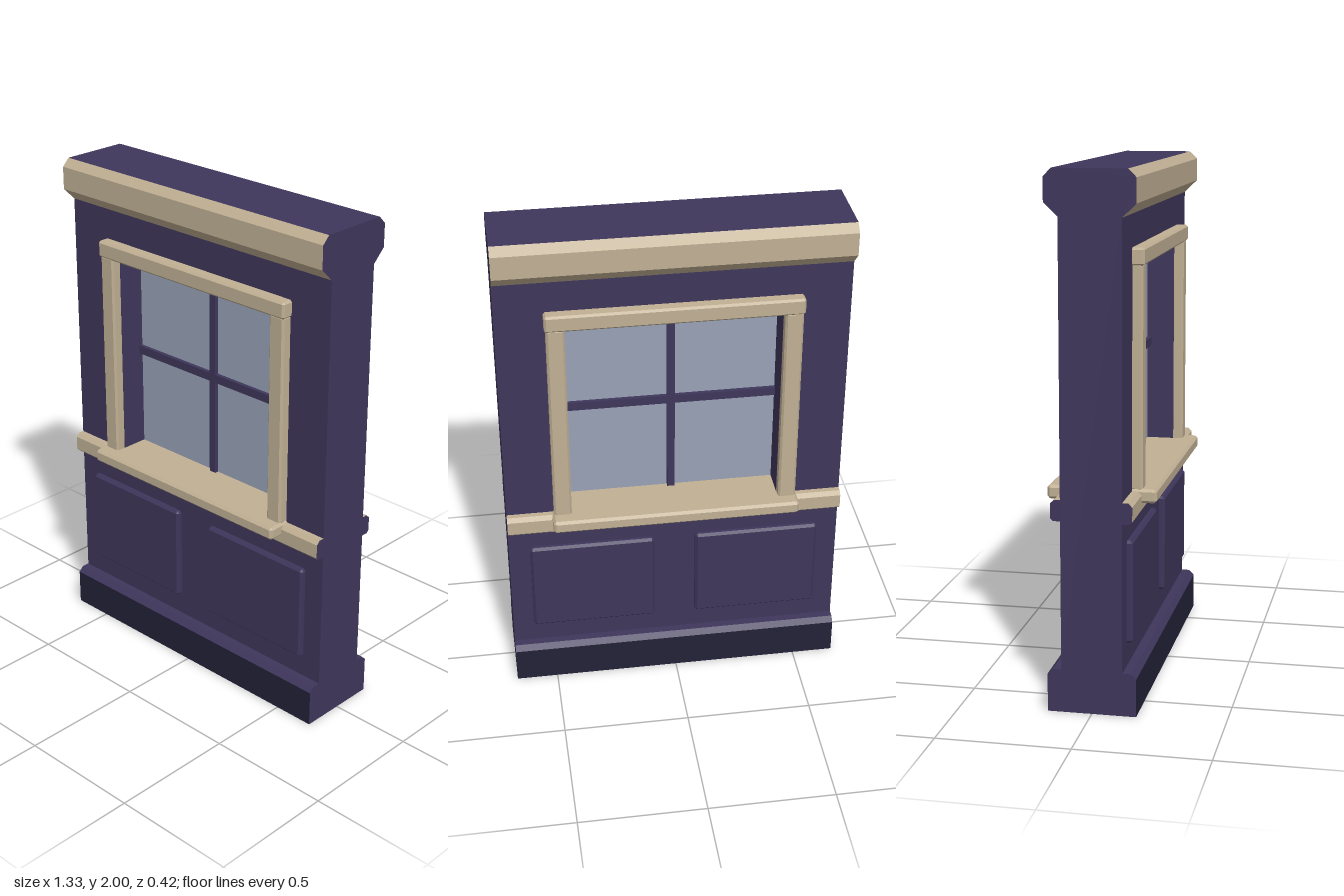
import * as THREE from 'three';
import { ConvexGeometry } from 'three/addons/geometries/ConvexGeometry.js';

const WIDTH = 1.333, HALF_DEPTH = 0.115;

function material(name, color) {
  const m = new THREE.MeshStandardMaterial({ color });
  m.name = name;
  return m;
}

// Box with every edge cut at 45 degrees, given by its two opposite corners
function chamferBox([x0, y0, z0], [x1, y1, z1], c) {
  const h = [(x1 - x0) / 2, (y1 - y0) / 2, (z1 - z0) / 2];
  const points = [];
  for (const sx of [-1, 1]) for (const sy of [-1, 1]) for (const sz of [-1, 1]) {
    for (let axis = 0; axis < 3; axis++) {
      const p = h.map((v, i) => (i === axis ? v : v - c));
      points.push(new THREE.Vector3(p[0] * sx, p[1] * sy, p[2] * sz));
    }
  }
  return new ConvexGeometry(points).translate((x0 + x1) / 2, (y0 + y1) / 2, (z0 + z1) / 2);
}

// Profile of [z, y] points run along x; faces tilted up more than topLimit use the cap material
function moulding(points, topLimit) {
  const shape = new THREE.Shape(points.map(([z, y]) => new THREE.Vector2(z, y)));
  const geo = new THREE.ExtrudeGeometry(shape, { depth: WIDTH, bevelEnabled: false });
  geo.translate(0, 0, -WIDTH / 2).rotateY(-Math.PI / 2);
  const normal = geo.attributes.normal;
  geo.clearGroups();
  for (let i = 0; i < normal.count; i += 3) {
    const cap = Math.abs(normal.getX(i)) > 0.9 || normal.getY(i) > topLimit;
    geo.addGroup(i, 3, cap ? 0 : 1);
  }
  return geo;
}

// Complete a half profile with its mirror image across z = 0
const mirrored = (half) => [...half, ...half.map(([z, y]) => [-z, y]).reverse()];

export function createModel() {
  const paint = material('purple paint', 0x3e365b);
  const trim = material('beige trim', 0xc0b094);
  const dark = material('dark skirting', 0x232239);
  const glass = material('window glass', 0x98a2b6);

  const model = new THREE.Group();
  model.name = 'windowWall';
  const add = (name, geo, mat, parent = model) => {
    const mesh = new THREE.Mesh(geo, mat);
    mesh.name = name;
    parent.add(mesh);
    return mesh;
  };

  // Wall slab with the window opening
  const slab = new THREE.Shape();
  const w = WIDTH / 2;
  slab.moveTo(-w, 0.165).lineTo(w, 0.165).lineTo(w, 1.83).lineTo(-w, 1.83).closePath();
  const hole = new THREE.Path();
  hole.moveTo(-0.41, 0.795).lineTo(-0.41, 1.66).lineTo(0.41, 1.66).lineTo(0.41, 0.795).closePath();
  slab.holes.push(hole);
  const wall = new THREE.ExtrudeGeometry(slab, { depth: HALF_DEPTH * 2, bevelEnabled: false });
  add('wall', wall.translate(0, 0, -HALF_DEPTH), paint);

  // Skirting with painted bevel, and cornice with painted top
  add('skirting', moulding(mirrored([[0.167, 0], [0.167, 0.145], [0.147, 0.165]]), 0.1), [paint, dark]);
  add('cornice', moulding(mirrored([
    [HALF_DEPTH, 1.83], [0.167, 1.88], [0.167, 1.97], [0.137, 2],
  ]), 0.9), [paint, trim]);

  // Glass and glazing bars
  add('glass', new THREE.BoxGeometry(0.82, 0.84, 0.008).translate(0, 1.23, 0), glass);
  add('verticalBar', new THREE.BoxGeometry(0.03, 0.84, 0.04).translate(0, 1.23, 0), paint);
  add('horizontalBar', new THREE.BoxGeometry(0.82, 0.034, 0.04).translate(0, 1.229, 0), paint);

  // Sill and header run right through the wall
  add('sill', chamferBox([-0.488, 0.765, -0.208], [0.488, 0.818, 0.208], 0.01), trim);
  add('header', chamferBox([-0.486, 1.643, -0.16], [0.486, 1.709, 0.16], 0.008), trim);

  // Parts that repeat on both faces
  for (const side of ['front', 'back']) {
    const face = new THREE.Group();
    face.name = side + 'Face';
    if (side === 'back') face.rotation.y = Math.PI;
    model.add(face);

    add('chairRail', moulding([
      [HALF_DEPTH, 0.73], [0.142, 0.73], [0.152, 0.74], [0.152, 0.795], [0.137, 0.81], [HALF_DEPTH, 0.81],
    ], 2), [paint, trim], face);

    for (const [name, s] of [['left', 1], ['right', -1]]) {
      const jamb = chamferBox([-0.035, 0.81, 0.1], [0.035, 1.65, 0.154], 0.008);
      add(name + 'Jamb', jamb.translate(s * 0.446, 0, 0), trim, face);
      const panel = chamferBox([-0.25, 0.253, 0.09], [0.25, 0.645, 0.137], 0.01);
      add(name + 'Panel', panel.translate(s * 0.333, 0, 0), paint, face);
    }
  }
  return model;
}
